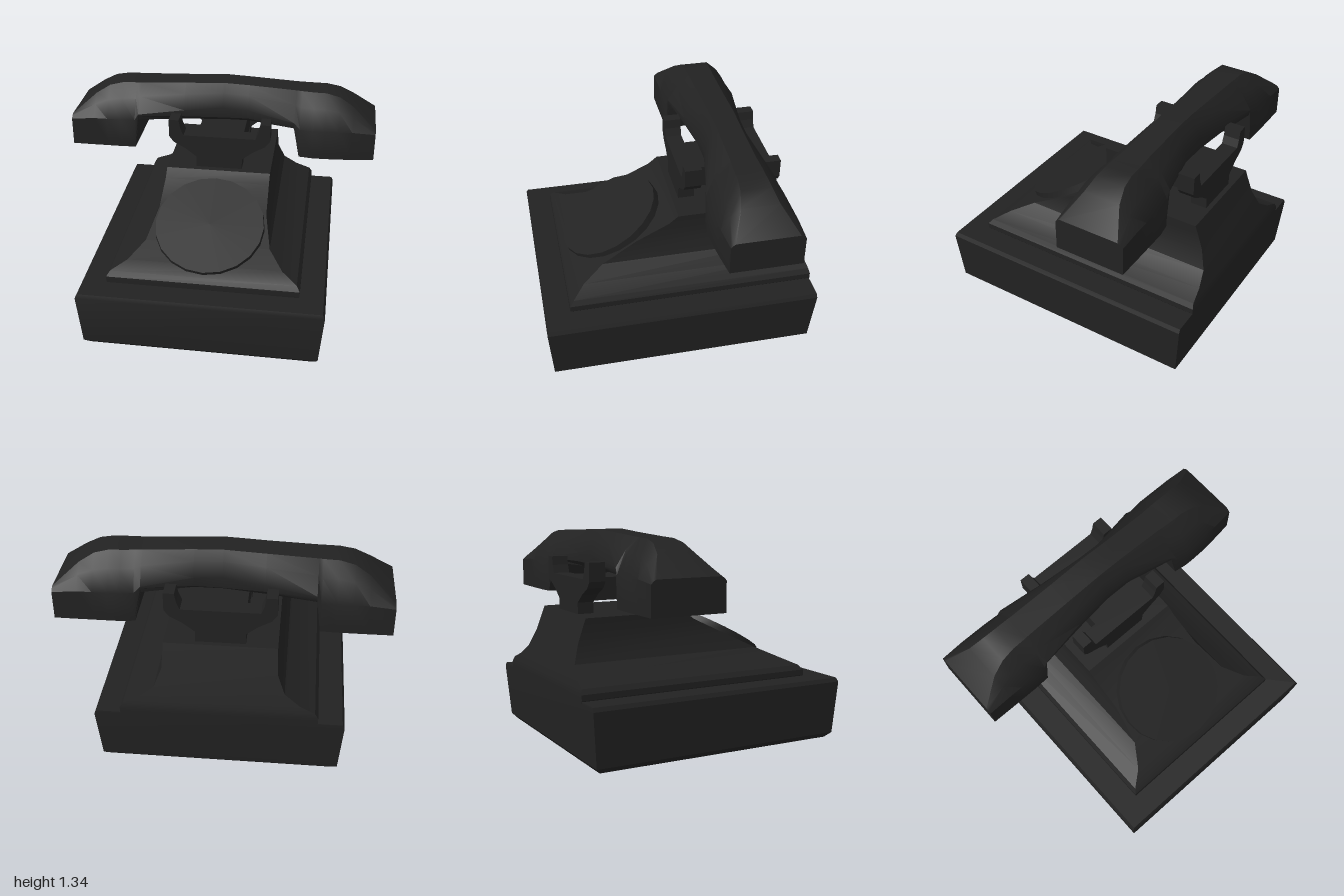
import * as THREE from 'three';
import { toCreasedNormals } from 'three/addons/utils/BufferGeometryUtils.js';

const black = new THREE.MeshStandardMaterial({ color: 0x222222 });

function part(name, geometry, parent) {
  const mesh = new THREE.Mesh(geometry, black);
  mesh.name = name;
  parent.add(mesh);
  return mesh;
}

// Skin a closed solid over rings of equal point count, with a cap at each end
function loft(rings, crease = 0.5) {
  const n = rings[0].length;
  const pos = rings.flat(2);
  const index = [];
  for (let r = 0; r < rings.length - 1; r++) {
    for (let i = 0; i < n; i++) {
      const a = r * n + i, b = r * n + (i + 1) % n;
      index.push(a, b, b + n, a, b + n, a + n);
    }
  }
  const last = (rings.length - 1) * n;
  for (let i = 1; i < n - 1; i++) {
    index.push(0, i + 1, i, last, last + i, last + i + 1);
  }
  const g = new THREE.BufferGeometry();
  g.setAttribute('position', new THREE.Float32BufferAttribute(pos, 3));
  g.setIndex(index);
  return toCreasedNormals(g, crease);
}

// Horizontal rectangle: height, half width, front z, back z
const rect = ([y, w, f, b]) => [[w, y, f], [w, y, b], [-w, y, b], [-w, y, f]];

// Handset section: x, top y, shoulder y, bottom y, half depth, top and bottom width ratios, front half depth
function handsetRing([x, top, shoulder, bottom, d, topR, botR, front = d]) {
  const zc = -0.387;
  const mid = shoulder + (top - shoulder) * 0.6;
  const midR = topR + (1 - topR) * 0.55;
  const half = [
    [topR, top], [midR, mid], [1, shoulder], [1, bottom + 0.03], [botR, bottom],
  ];
  return [
    ...half.map(([k, y]) => [x, y, zc + k * front]),
    ...half.reverse().map(([k, y]) => [x, y, zc - k * d]),
  ];
}

export function createModel() {
  const phone = new THREE.Group();
  phone.name = 'telephone';

  // Heavy base, flaring slightly upward
  part('base', loft([
    [0, 0.695, 0.795, -0.79],
    [0.035, 0.73, 0.827, -0.823],
    [0.37, 0.755, 0.85, -0.85],
    [0.395, 0.742, 0.84, -0.848],
  ].map(rect)), phone);

  // Concave-sided housing with a sloping front
  part('housing', loft([
    [0.38, 0.58, 0.69, -0.85],
    [0.4, 0.595, 0.692, -0.85],
    [0.435, 0.595, 0.69, -0.85],
    [0.465, 0.575, 0.665, -0.842],
    [0.505, 0.48, 0.588, -0.828],
    [0.57, 0.39, 0.453, -0.805],
    [0.68, 0.345, 0.227, -0.764],
    [0.78, 0.34, 0.02, -0.728],
    [0.83, 0.34, -0.04, -0.71],
  ].map(rect)), phone);

  // Round dial lying on the slope
  const dial = part('dial', toCreasedNormals(
    new THREE.CylinderGeometry(0.342, 0.35, 0.07, 20), 0.5), phone);
  dial.rotation.x = THREE.MathUtils.degToRad(28.5);
  dial.position.set(0, 0.629, 0.338);

  // Two horned cradle plates joined by a bridge
  const side = [
    [0.15, 0.82], [0.15, 0.9], [0.22, 0.955], [0.3, 1.0], [0.33, 1.04],
    [0.33, 1.155], [0.265, 1.155], [0.255, 1.1], [0.235, 1.05],
  ];
  const outline = [...side, ...side.map(([x, y]) => [-x, y]).reverse()];
  const shape = new THREE.Shape(outline.map(([x, y]) => new THREE.Vector2(x, y)));
  const cradle = new THREE.Group();
  cradle.name = 'cradle';
  phone.add(cradle);
  for (const [name, z] of [['frontCradle', -0.185], ['backCradle', -0.68]]) {
    const plate = new THREE.ExtrudeGeometry(shape, { depth: 0.105, bevelEnabled: false });
    part(name, plate, cradle).position.z = z;
  }
  part('cradleBridge', new THREE.BoxGeometry(0.3, 0.14, 0.45), cradle)
    .position.set(0, 0.977, -0.3825);

  // Handset: narrow grip between deep ear and mouth blocks
  part('handset', loft([
    [-1, 1.11, 1.085, 0.905, 0.233, 0.86, 1],
    [-0.85, 1.232, 1.1, 0.905, 0.234, 0.5, 1],
    [-0.76, 1.285, 1.1, 0.905, 0.234, 0.4, 1],
    [-0.67, 1.305, 1.1, 0.905, 0.234, 0.36, 1],
    [-0.575, 1.308, 1.1, 0.905, 0.23, 0.36, 1],
    [-0.55, 1.309, 1.14, 1.1, 0.225, 0.36, 0.96],
    [-0.25, 1.322, 1.17, 1.097, 0.18, 0.43, 0.85],
    [0, 1.335, 1.19, 1.09, 0.148, 0.52, 0.72],
    [0.17, 1.328, 1.18, 1.094, 0.15, 0.5, 0.75],
    [0.475, 1.311, 1.14, 1.1, 0.215, 0.36, 0.96],
    [0.515, 1.309, 1.1, 0.905, 0.222, 0.36, 1],
    [0.6, 1.306, 1.1, 0.905, 0.234, 0.36, 1],
    [0.67, 1.305, 1.1, 0.905, 0.234, 0.36, 1],
    [0.76, 1.285, 1.1, 0.905, 0.234, 0.4, 1, 0.231],
    [0.85, 1.232, 1.1, 0.905, 0.234, 0.5, 1, 0.222],
    [1, 1.11, 1.085, 0.905, 0.233, 0.86, 1, 0.203],
  ].map(handsetRing), 0.55), phone);

  return phone;
}
